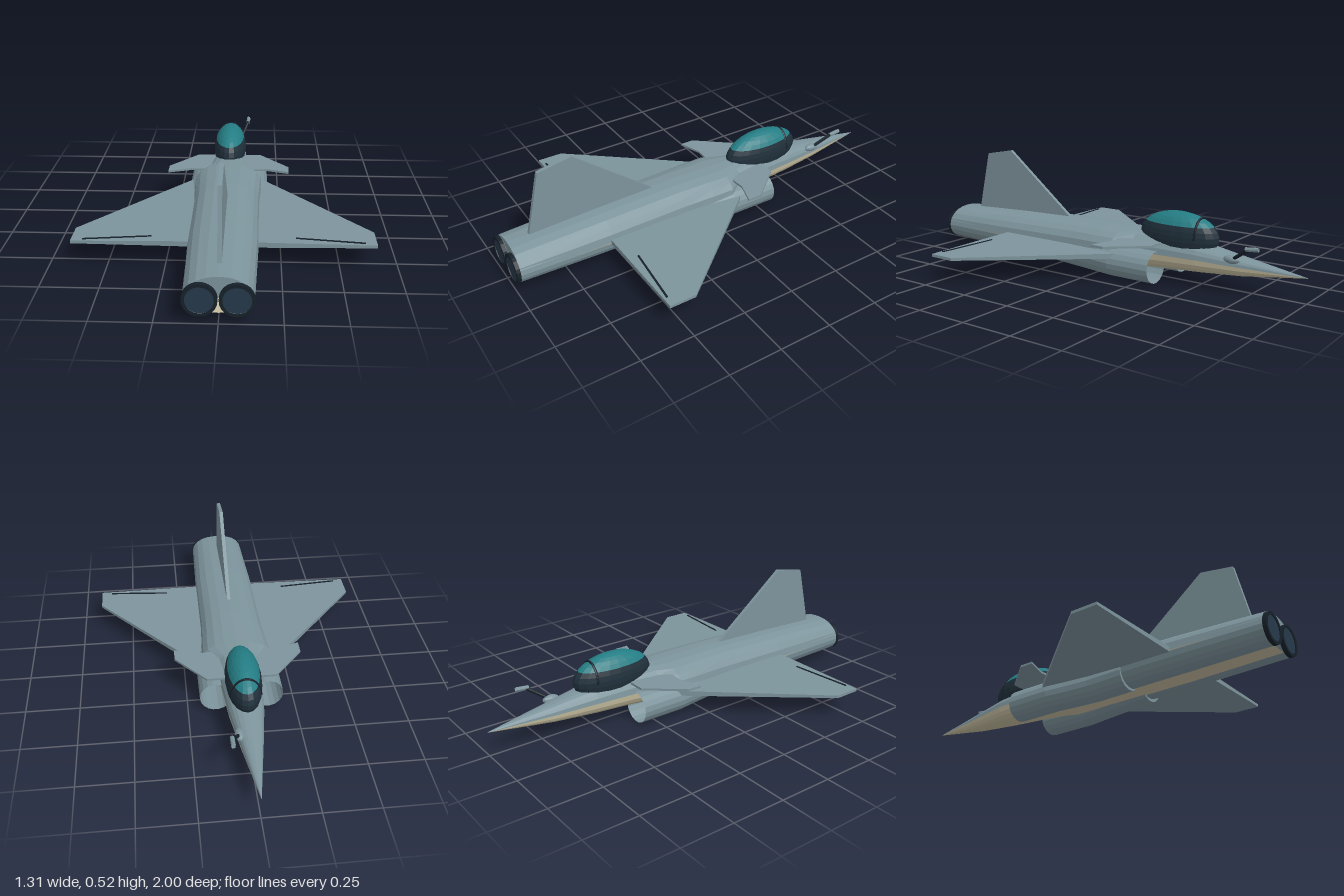
import * as THREE from 'three';

const paint = (name, color) => new THREE.MeshStandardMaterial({ name, color, flatShading: true, side: THREE.DoubleSide });

// Skin through rings that run from the nose (-z) to the tail (+z)
function loft(rings) {
  const n = rings[0].length, pos = rings.flat(2), idx = [];
  for (let i = 0; i < rings.length - 1; i++) {
    for (let j = 0; j < n - 1; j++) {
      const a = i * n + j, b = a + n;
      idx.push(a, a + 1, b, a + 1, b + 1, b);
    }
  }
  const g = new THREE.BufferGeometry();
  g.setAttribute('position', new THREE.Float32BufferAttribute(pos, 3));
  g.setIndex(idx);
  g.computeVertexNormals();
  return g;
}

// Circular duct from stations [z, centre x, centre y, radius]
function duct(stations, side, seg = 18) {
  return loft(stations.map(([z, x, y, r]) => Array.from({ length: seg + 1 }, (_, j) => {
    const a = (j / seg) * Math.PI * 2;
    return [side * x + r * Math.cos(a), y + r * Math.sin(a), z];
  })));
}

// Flat panel from [x, z] corners, thickness t centred on y
function panel(points, y, t, side = 1) {
  const s = new THREE.Shape(points.map(([x, z]) => new THREE.Vector2(side * x, z)));
  return new THREE.ExtrudeGeometry(s, { depth: t, bevelEnabled: false }).rotateX(Math.PI / 2).translate(0, y + t / 2, 0);
}

// Rod between two points
function rod(a, b, r) {
  return new THREE.TubeGeometry(new THREE.LineCurve3(new THREE.Vector3(...a), new THREE.Vector3(...b)), 1, r, 8);
}

export function createModel() {
  const model = new THREE.Group();
  const grey = paint('airframe grey', 0x7d949c);
  const cream = paint('belly cream', 0xc4bc9e);
  const dark = paint('frame dark', 0x20303b);
  const glass = paint('canopy teal', 0x247d84);
  const black = paint('trim black', 0x17212a);
  const navy = paint('exhaust navy', 0x26394a);
  const add = (name, geometry, material, parent = model) => {
    const m = new THREE.Mesh(geometry, material);
    m.name = name;
    parent.add(m);
    return m;
  };

  // Fuselage stations: z, half width, top, middle, bottom
  const stations = [
    [-1, 0.001, 0.121, 0.12, 0.119],
    [-0.7, 0.05, 0.167, 0.127, 0.08],
    [-0.5, 0.08, 0.2, 0.135, 0.066],
    [-0.32, 0.094, 0.215, 0.135, 0.056],
    [-0.18, 0.11, 0.222, 0.135, 0.045],
    [-0.1, 0.165, 0.224, 0.13, 0.04],
    [0, 0.162, 0.226, 0.125, 0.036],
    [0.15, 0.154, 0.228, 0.12, 0.033],
    [0.55, 0.152, 0.218, 0.115, 0.036],
    [0.98, 0.137, 0.2, 0.11, 0.045],
  ];
  const half = (sign) => loft(stations.map(([z, w, top, mid, bot]) => Array.from({ length: 11 }, (_, j) => {
    const a = (j / 10) * Math.PI + (sign < 0 ? Math.PI : 0);
    const c = Math.cos(a), s = Math.abs(Math.sin(a));
    const h = sign > 0 ? top - mid : bot - mid;
    return [w * Math.sign(c) * Math.abs(c) ** 0.88, mid + h * s ** 0.88, z];
  })));
  add('upperFuselage', half(1), grey);
  add('belly', half(-1), cream);

  // Tail bulkhead
  const bulkhead = new THREE.Shape();
  bulkhead.absellipse(0, 0, 0.137, 0.09, 0, Math.PI, false);
  add('tailBulkhead', new THREE.ShapeGeometry(bulkhead).translate(0, 0.11, 0.98), grey);

  // Canopy: dark sill below, glass above, arch frame across
  const canopy = new THREE.Group();
  canopy.name = 'canopy';
  canopy.position.set(0, 0.22, -0.375);
  canopy.scale.set(0.082, 0.11, 0.203);
  model.add(canopy);
  const cut = Math.PI * 0.335;
  add('canopyGlass', new THREE.SphereGeometry(1, 20, 5, 0, Math.PI * 2, 0, cut), glass, canopy);
  add('canopySill', new THREE.SphereGeometry(1, 20, 6, 0, Math.PI * 2, cut, Math.PI * 0.75 - cut), dark, canopy);
  const arch = add('canopyArch', new THREE.TorusGeometry(1, 0.05, 6, 18, Math.PI), black, canopy);
  arch.position.z = -0.57;
  arch.scale.set(0.82, 0.82, 0.6);

  // Paired parts
  for (const side of [1, -1]) {
    const tag = side > 0 ? 'left' : 'right';

    // Intake, open at the front, with an inner wall set back
    add(tag + 'Intake', duct([
      [-0.325, 0.12, 0.081, 0.074], [-0.1, 0.12, 0.081, 0.074], [0, 0.106, 0.082, 0.074],
      [0.12, 0.092, 0.084, 0.074], [0.3, 0.083, 0.092, 0.074], [0.301, 0.083, 0.092, 0.002],
    ], side), grey);
    add(tag + 'IntakeWall', new THREE.CircleGeometry(0.072, 18).rotateY(Math.PI).translate(side * 0.12, 0.081, -0.15), grey);

    // Engine nacelle and nozzle
    add(tag + 'Nacelle', duct([
      [0, 0.078, 0.108, 0.076], [0.3, 0.076, 0.107, 0.077], [0.6, 0.075, 0.108, 0.075],
      [0.985, 0.071, 0.108, 0.068], [0.986, 0.071, 0.108, 0.002],
    ], side), grey);
    const x = side * 0.072, y = 0.108;
    add(tag + 'NozzleRim', new THREE.CylinderGeometry(0.07, 0.07, 0.018, 24, 1, true).rotateX(Math.PI / 2).translate(x, y, 0.99), black);
    add(tag + 'NozzleLip', new THREE.RingGeometry(0.056, 0.07, 24).translate(x, y, 0.999), black);
    add(tag + 'Exhaust', new THREE.CircleGeometry(0.058, 24).translate(x, y, 0.994), navy);

    // Delta wing, thinning towards the tip
    const wing = panel([[0.1, -0.22], [0.2, -0.105], [0.655, 0.43], [0.655, 0.555], [0.1, 0.555]], 0, 0.026, side);
    const p = wing.attributes.position;
    for (let i = 0; i < p.count; i++) {
      p.setY(i, 0.117 + p.getY(i) * (1.08 - 0.9 * Math.abs(p.getX(i))));
    }
    add(tag + 'Wing', wing, grey);

    // Flap line lying on the wing
    const line = panel([[0.31, 0.504], [0.605, 0.534], [0.605, 0.543], [0.31, 0.512]], 0, 0.006, side);
    const q = line.attributes.position;
    for (let i = 0; i < q.count; i++) {
      q.setY(i, 0.117 + q.getY(i) + 0.013 * (1.08 - 0.9 * Math.abs(q.getX(i))));
    }
    add(tag + 'FlapLine', line, black);

    // Canard
    add(tag + 'Canard', panel([[0.07, -0.325], [0.16, -0.325], [0.298, -0.16], [0.298, -0.092], [0.19, -0.128], [0.07, -0.12]], 0.186, 0.01, side), grey);
  }

  // Tail fin
  const fin = panel([[0.2, 0.26], [0.222, 0.26], [0.525, 0.65], [0.497, 0.81], [0.2, 0.88], [0.18, 0.88]], 0, 0.018);
  add('tailFin', fin.rotateZ(Math.PI / 2), grey);

  // Refuelling probe on the nose
  const bulb = add('probeBase', new THREE.SphereGeometry(1, 12, 8), grey);
  bulb.scale.set(0.02, 0.019, 0.04);
  bulb.position.set(0.05, 0.16, -0.67);
  add('probeArm', rod([0.055, 0.165, -0.68], [0.09, 0.228, -0.77], 0.008), black);
  add('probeHead', rod([0.09, 0.226, -0.755], [0.09, 0.232, -0.815], 0.01), grey);

  return model;
}
